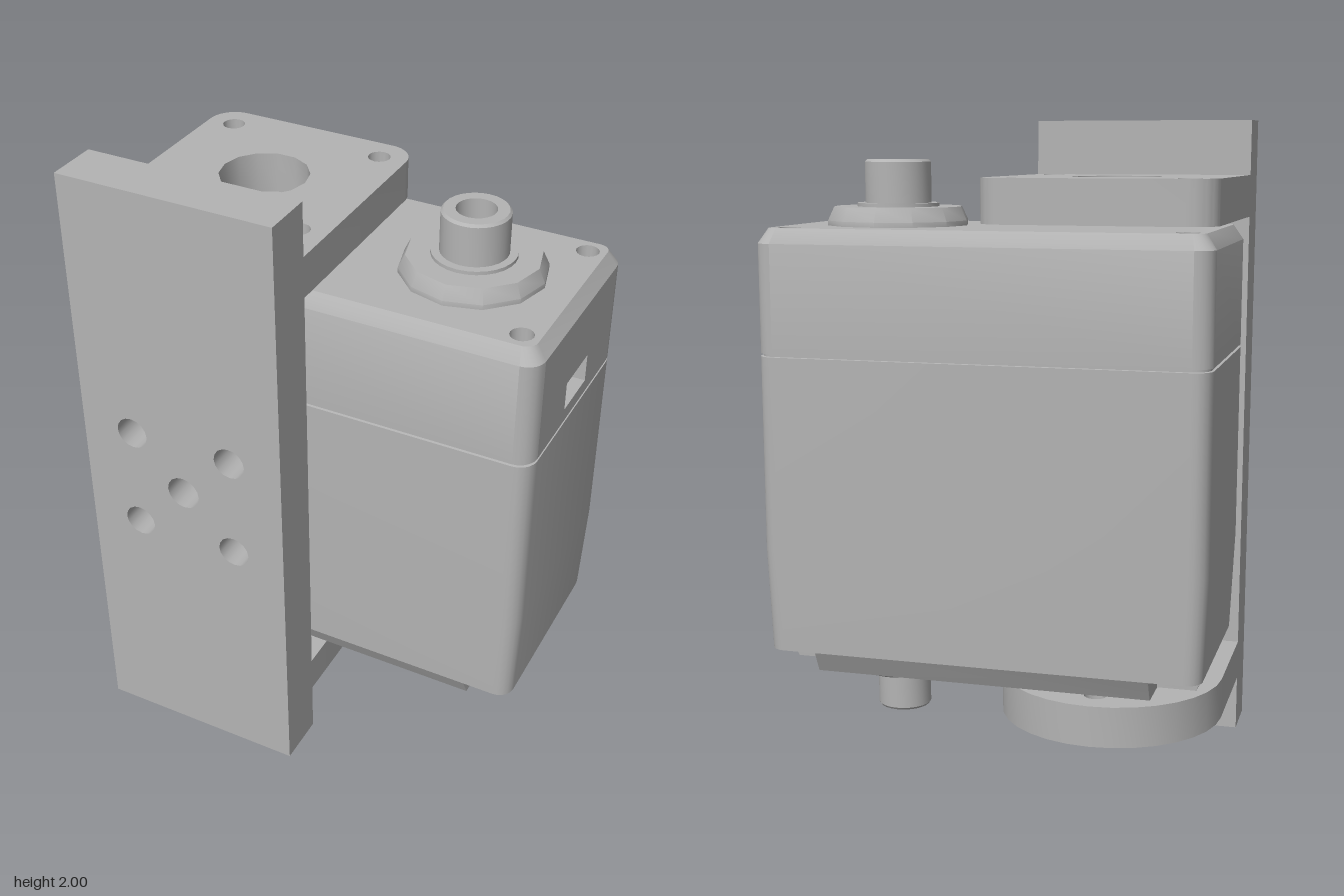
import * as THREE from 'three';
import { toCreasedNormals } from 'three/addons/utils/BufferGeometryUtils.js';

const grey = new THREE.MeshStandardMaterial({ color: 0xb4b4b4, side: THREE.DoubleSide });
grey.name = 'grey';
const AXIS_X = 0.345, MID_Z = -0.103;

function add(parent, name, geometry, x = 0, y = 0, z = 0) {
  const mesh = new THREE.Mesh(toCreasedNormals(geometry, 0.6), grey);
  mesh.name = name;
  mesh.position.set(x, y, z);
  parent.add(mesh);
  return mesh;
}

// Rounded rectangle outline in x and z; its last segment is the +x side
function ring(hx, hz, r, n = 5) {
  const pts = [];
  [[1, 1], [-1, 1], [-1, -1], [1, -1]].forEach(([sx, sz], c) => {
    for (let i = 0; i <= n; i++) {
      const a = (c + i / n) * Math.PI / 2;
      pts.push(new THREE.Vector2(sx * (hx - r) + r * Math.cos(a), sz * (hz - r) + r * Math.sin(a)));
    }
  });
  return pts;
}

function circleHole(x, y, r, n = 16) {
  const pts = [];
  for (let i = 0; i < n; i++) {
    const a = -i / n * Math.PI * 2;
    pts.push(new THREE.Vector2(x + r * Math.cos(a), y + r * Math.sin(a)));
  }
  return new THREE.Path(pts);
}

// Side walls through levels [y, halfX, halfZ, radius]; the +x quad of level skip is left open
function walls(levels, skip = -1) {
  const rings = levels.map(([, hx, hz, r]) => ring(hx, hz, r));
  const pos = [];
  for (let l = 0; l + 1 < levels.length; l++) {
    const n = rings[l].length;
    for (let i = 0; i < n; i++) {
      if (l === skip && i === n - 1) continue;
      const j = (i + 1) % n;
      const p = (k, m) => [rings[k][m].x, levels[k][0], rings[k][m].y];
      pos.push(...p(l, i), ...p(l + 1, i), ...p(l + 1, j), ...p(l, i), ...p(l + 1, j), ...p(l, j));
    }
  }
  const g = new THREE.BufferGeometry();
  g.setAttribute('position', new THREE.Float32BufferAttribute(pos, 3));
  return g;
}

// Flat lid on a level, with round holes
function cap([y, hx, hz, r], up, holes = [], holeR = 0.035) {
  const shape = new THREE.Shape(ring(hx, hz, r));
  for (const [x, z] of holes) shape.holes.push(circleHole(x, up ? -z : z, holeR));
  return new THREE.ShapeGeometry(shape).rotateX(up ? -Math.PI / 2 : Math.PI / 2).translate(0, y, 0);
}

function lathe(points, segments) {
  return new THREE.LatheGeometry(points.map(p => new THREE.Vector2(...p)), segments);
}

// Horizontal plate from an x-z outline, lying between y = top - thickness and top
function slab(shape, thickness, top) {
  return new THREE.ExtrudeGeometry(shape, { depth: thickness, bevelEnabled: false, curveSegments: 8 })
    .rotateX(Math.PI / 2).translate(0, top, 0);
}

function buildBracket() {
  const g = new THREE.Group();
  g.name = 'bracket';
  // Upright mounting plate
  const plate = new THREE.Shape([[-0.69, 0], [0, 0], [0, 2], [-0.69, 2]].map(p => new THREE.Vector2(...p)));
  plate.holes.push(circleHole(-AXIS_X, 1, 0.055));
  for (const sx of [-1, 1]) for (const sy of [-1, 1])
    plate.holes.push(circleHole(-AXIS_X + sx * 0.17, 1 + sy * 0.17, 0.052));
  add(g, 'mountingPlate', new THREE.ExtrudeGeometry(plate, { depth: 0.165, bevelEnabled: false }), 0, 0, 0.285);

  // Square upper arm with rounded rear corners
  const upper = new THREE.Shape();
  upper.moveTo(0, 0.285).lineTo(-0.69, 0.285).lineTo(-0.69, -0.365);
  upper.absarc(-0.605, -0.365, 0.085, Math.PI, Math.PI * 1.5, false);
  upper.absarc(-0.085, -0.365, 0.085, Math.PI * 1.5, Math.PI * 2, false);
  upper.closePath();
  upper.holes.push(circleHole(-AXIS_X, -0.105, 0.138, 14));
  for (const sx of [-1, 1]) for (const sz of [-1, 1])
    upper.holes.push(circleHole(-AXIS_X + sx * 0.257, -0.105 + sz * 0.257, 0.035));
  add(g, 'upperArm', slab(upper, 0.13, 1.83));

  // Lower arm with a half-round end
  const lower = new THREE.Shape();
  lower.moveTo(0, 0.285).lineTo(-0.69, 0.285).lineTo(-0.69, -0.1);
  lower.absarc(-AXIS_X, -0.1, AXIS_X, Math.PI, Math.PI * 2, false);
  lower.closePath();
  lower.holes.push(circleHole(-AXIS_X, -0.105, 0.138, 14));
  for (const [dx, dz] of [[1, 0], [-1, 0], [0, 1], [0, -1]])
    lower.holes.push(circleHole(-AXIS_X + dx * 0.24, -0.105 + dz * 0.24, 0.035));
  add(g, 'lowerArm', slab(lower, 0.125, 0.3));
  return g;
}

function buildMotor() {
  const g = new THREE.Group();
  g.name = 'motor';
  g.position.z = MID_Z;
  // Housing with a seam groove and a chamfered top
  const levels = [
    [0.385, 0.672, 0.334, 0.05], [0.7, 0.685, 0.342, 0.055],
    [1.298, 0.685, 0.342, 0.055], [1.299, 0.677, 0.334, 0.05],
    [1.306, 0.677, 0.334, 0.05], [1.307, 0.685, 0.342, 0.055],
    [1.635, 0.685, 0.342, 0.055], [1.68, 0.655, 0.312, 0.035],
  ];
  add(g, 'housingWalls', walls(levels, 5));
  add(g, 'housingUnderside', cap(levels[0], false));
  const screws = [];
  for (const x of [-0.6, 0.6]) for (const z of [-0.257, 0.257]) screws.push([x, z]);
  add(g, 'housingTop', cap(levels[7], true, screws));
  for (const [x, z] of screws)
    add(g, 'topScrewHole', lathe([[0.035, 1.68], [0.035, 1.58], [0, 1.58]], 16), x, 0, z);

  // Side panel with a socket recess
  const rect = (x0, y0, x1, y1) => [[x0, y0], [x1, y0], [x1, y1], [x0, y1]].map(p => new THREE.Vector2(...p));
  const panel = new THREE.Shape(rect(-0.287, 1.307, 0.287, 1.635));
  panel.holes.push(new THREE.Path(rect(-0.085, 1.35, 0.085, 1.44)));
  add(g, 'sidePanel', new THREE.ShapeGeometry(panel).rotateY(Math.PI / 2), 0.685);
  const socket = new THREE.BoxGeometry(0.12, 0.09, 0.17);
  socket.setIndex(Array.from(socket.index.array).slice(6));
  add(g, 'socketRecess', socket, 0.625, 1.395, 0);

  // Crossed base blocks leave a notch at each lower corner
  const baseLong = [[0.32, 0.638, 0.18, 0.002], [0.386, 0.672, 0.18, 0.002]];
  const baseWide = [[0.32, 0.52, 0.3, 0.002], [0.386, 0.52, 0.334, 0.002]];
  const holes = [[0.08, -0.257], [0.08, 0.257]];
  add(g, 'baseLong', walls(baseLong));
  add(g, 'baseLongUnderside', cap(baseLong[0], false));
  add(g, 'baseWide', walls(baseWide));
  add(g, 'baseWideUnderside', cap(baseWide[0], false, holes, 0.03));
  for (const [x, z] of holes)
    add(g, 'baseScrewHole', lathe([[0, 0.375], [0.03, 0.375], [0.03, 0.32]], 16), x, 0, z);

  // Output collar and hollow shaft above
  add(g, 'topCollar', lathe([[0.22, 1.68], [0.22, 1.695], [0.2, 1.737], [0, 1.737]], 12), AXIS_X);
  add(g, 'topShaft', lathe([[0.127, 1.735], [0.127, 1.748], [0.102, 1.748], [0.102, 1.872],
    [0.095, 1.88], [0.06, 1.88], [0.06, 1.78], [0, 1.78]], 28), AXIS_X);
  // Idler collar and shaft below
  add(g, 'bottomCollar', lathe([[0, 0.267], [0.165, 0.267], [0.215, 0.31], [0.215, 0.32]], 16), AXIS_X);
  add(g, 'bottomShaft', lathe([[0, 0.2], [0.045, 0.2], [0.045, 0.13], [0.08, 0.13],
    [0.085, 0.137], [0.085, 0.27]], 24), AXIS_X);
  return g;
}

export function createModel() {
  const model = new THREE.Group();
  model.name = 'motorWithBracket';
  model.add(buildBracket(), buildMotor());
  return model;
}
